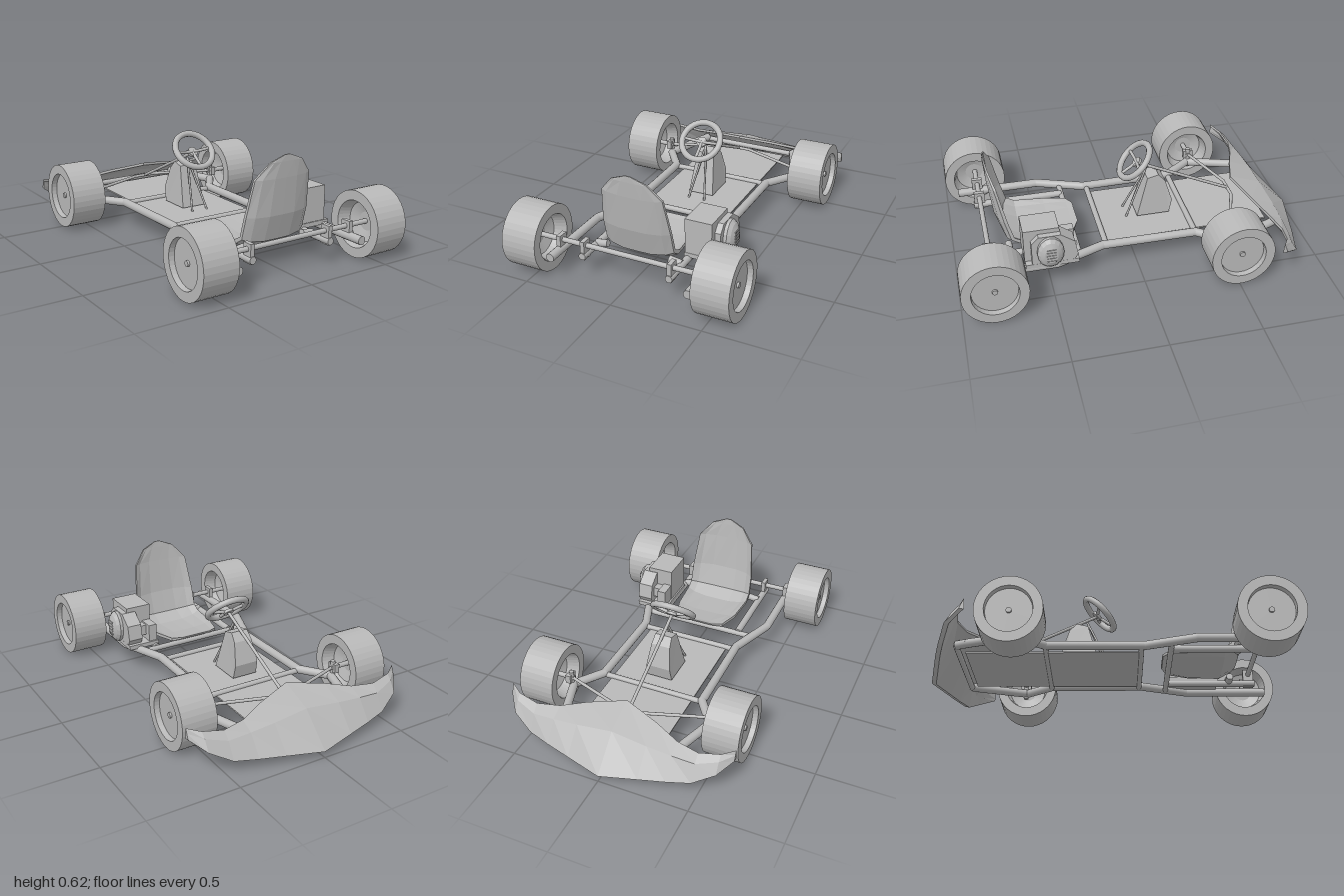
import * as THREE from 'three';
import { toCreasedNormals } from 'three/addons/utils/BufferGeometryUtils.js';

export function createModel() {
  const kart = new THREE.Group();
  kart.name = 'kart';
  const grey = new THREE.MeshStandardMaterial({ color: 0xb8b8b8 });
  grey.name = 'plain grey';

  const add = (name, geo, pos = [0, 0, 0], parent = kart) => {
    const m = new THREE.Mesh(geo, grey);
    m.name = name;
    m.position.set(...pos);
    parent.add(m);
    return m;
  };
  const box = (name, size, pos, parent) => add(name, new THREE.BoxGeometry(...size), pos, parent);

  // Straight tubes through a list of points, with round joints at the bends
  const tube = (name, pts, r, parent = kart) => {
    const g = new THREE.Group();
    g.name = name;
    parent.add(g);
    const v = pts.map(p => new THREE.Vector3(...p));
    for (let i = 0; i < v.length - 1; i++) {
      const d = v[i + 1].clone().sub(v[i]);
      const mid = v[i].clone().add(v[i + 1]).multiplyScalar(0.5);
      const m = add(name + 'Section', new THREE.CylinderGeometry(r, r, d.length(), 14), mid.toArray(), g);
      m.quaternion.setFromUnitVectors(new THREE.Vector3(0, 1, 0), d.normalize());
      if (i > 0) add(name + 'Bend', new THREE.SphereGeometry(r, 14, 10), pts[i], g);
    }
    return g;
  };

  // Faceted solid through closed rings of points
  const loft = rings => {
    const pos = [], n = rings[0].length;
    const tri = (...p) => p.forEach(q => pos.push(...q));
    for (let i = 0; i < rings.length - 1; i++) {
      for (let j = 0; j < n; j++) {
        const k = (j + 1) % n, a = rings[i], b = rings[i + 1];
        tri(a[j], b[j], a[k]);
        tri(a[k], b[j], b[k]);
      }
    }
    // End caps join the upper points to the lower ones
    const first = rings[0], last = rings[rings.length - 1];
    for (let j = 0; j < n / 2 - 1; j++) {
      const o = n - 1 - j;
      tri(first[j], first[j + 1], first[o]);
      tri(first[j + 1], first[o - 1], first[o]);
      tri(last[j], last[o], last[j + 1]);
      tri(last[j + 1], last[o], last[o - 1]);
    }
    const geo = new THREE.BufferGeometry();
    geo.setAttribute('position', new THREE.Float32BufferAttribute(pos, 3));
    geo.computeVertexNormals();
    return geo;
  };

  const lathe = (pts, sides, crease) => toCreasedNormals(
    new THREE.LatheGeometry(pts.map(p => new THREE.Vector2(...p)), sides).toNonIndexed(), crease);

  // Side outline of [z, y] points, extruded across x
  const sideExtrude = (pts, width) => {
    const shape = new THREE.Shape(pts.map(([z, y]) => new THREE.Vector2(-z, y)));
    const geo = new THREE.ExtrudeGeometry(shape, { depth: width, bevelEnabled: false });
    geo.translate(0, 0, -width / 2);
    geo.rotateY(Math.PI / 2);
    return geo;
  };

  // Wheels: dished inside, shallow rim outside
  const wheelGeo = lathe([[0, 0.09], [0.05, 0.09], [0.105, 0.07], [0.125, 0], [0.177, 0],
    [0.177, 0.2], [0.125, 0.2], [0.122, 0.17], [0, 0.17]], 36, 0.1);
  for (const s of [-1, 1]) {
    for (const [name, z] of [['frontWheel', -0.51], ['rearWheel', 0.82]]) {
      const w = add(name, wheelGeo, [s * 0.437, 0.185, z]);
      w.rotation.z = -s * Math.PI / 2;
      w.scale.x = 1.04;
      tube('wheelHub', [[s * 0.6, 0.185, z], [s * 0.618, 0.185, z]], 0.015);
    }
  }

  // Main frame
  const Y = 0.132;
  for (const s of [-1, 1]) {
    tube('sideRail', [[s * 0.393, Y, 0.93], [s * 0.393, Y, 0.46], [s * 0.295, Y, 0.19],
      [s * 0.3, Y, -0.345], [s * 0.41, Y, -0.5], [s * 0.325, Y, -0.76], [s * 0.3, Y, -0.82]], 0.024);
    tube('innerRail', [[s * 0.25, Y, 0.33], [s * 0.25, Y, 0.85]], 0.02);
    for (const x of [0.25, 0.393]) box('axleBracket', [0.024, 0.105, 0.06], [s * x, 0.163, 0.815]);
    tube('seatMount', [[s * 0.25, 0.14, 0.7], [s * 0.18, 0.15, 0.7]], 0.02);
    // Front steering knuckles
    tube('kingpin', [[s * 0.415, 0.1, -0.51], [s * 0.415, 0.225, -0.51]], 0.014);
    tube('frontSpindle', [[s * 0.4, 0.185, -0.51], [s * 0.54, 0.185, -0.51]], 0.014);
    box('knuckle', [0.03, 0.05, 0.06], [s * 0.423, 0.185, -0.51]);
  }
  for (const [z, x] of [[0.17, 0.29], [0.33, 0.345], [-0.345, 0.3], [-0.82, 0.3]]) {
    tube('crossTube', [[-x, 0.125, z], [x, 0.125, z]], 0.016);
  }
  tube('rearAxle', [[-0.54, 0.185, 0.815], [0.54, 0.185, 0.815]], 0.014);
  box('floorPan', [0.49, 0.008, 0.95], [0.003, 0.118, -0.305]);

  // Steering linkage, column and wheel
  tube('tieRod', [[-0.41, 0.185, -0.51], [-0.07, 0.19, -0.63], [0.07, 0.19, -0.63],
    [0.41, 0.185, -0.51]], 0.009);
  tube('steeringColumn', [[0, 0.45, -0.075], [0, 0.19, -0.63]], 0.009);
  for (const s of [-1, 1]) tube('columnStrut', [[0, 0.41, -0.13], [s * 0.05, 0.12, 0]], 0.006);
  const steering = new THREE.Group();
  steering.name = 'steeringWheel';
  steering.position.set(0, 0.467, -0.06);
  steering.rotation.x = -Math.PI / 4;
  kart.add(steering);
  add('steeringRim', new THREE.TorusGeometry(0.115, 0.018, 10, 28), [0, 0, 0], steering);
  const hub = add('steeringHub', new THREE.CylinderGeometry(0.03, 0.03, 0.016, 16), [0, 0, -0.02], steering);
  hub.rotation.x = Math.PI / 2;
  for (const a of [0, Math.PI, -Math.PI / 2]) {
    tube('steeringSpoke', [[0, 0, -0.02], [0.11 * Math.cos(a), 0.11 * Math.sin(a), 0]], 0.009, steering);
  }

  // Console tank, narrowing towards the top
  const tank = sideExtrude([[-0.06, 0.13], [-0.125, 0.365], [-0.19, 0.38], [-0.23, 0.335],
    [-0.268, 0.21], [-0.25, 0.13]], 0.15);
  const tp = tank.attributes.position;
  for (let i = 0; i < tp.count; i++) tp.setX(i, tp.getX(i) * (1 - 1.7 * Math.max(0, tp.getY(i) - 0.18)));
  tank.computeVertexNormals();
  add('consoleTank', tank);

  // Bucket seat: y, z, half width, edge lift y/z, back face offset y/z
  const seatRows = [
    [0.17, 0.293, 0.09, 0, 0, -0.012, 0.004], [0.16, 0.325, 0.15, 0.005, 0, -0.018, 0],
    [0.14, 0.45, 0.185, 0.02, 0, -0.02, 0], [0.13, 0.62, 0.197, 0.035, 0, -0.02, 0.01],
    [0.17, 0.7, 0.197, 0.02, -0.035, -0.012, 0.016], [0.3, 0.74, 0.195, 0, -0.045, 0, 0.018],
    [0.5, 0.768, 0.172, 0, -0.03, 0, 0.014], [0.585, 0.778, 0.1, 0, -0.008, 0, 0.01],
    [0.62, 0.783, 0.015, 0, 0, 0, 0.006]];
  add('seat', loft(seatRows.map(([y, z, w, ly, lz, oy, oz]) => {
    const top = [-1, -0.8, -0.4, 0, 0.4, 0.8, 1].map(u => [u * w, y + ly * u ** 4, z + lz * u ** 4]);
    return [...top, ...top.map(p => [p[0], p[1] + oy, p[2] + oz]).reverse()];
  })));

  // Front fairing: x, then y/z of the rear edge, middle ridge and front edge
  const half = [
    [0, 0.265, -0.645, 0.2, -0.83, 0.035, -1], [0.2, 0.235, -0.71, 0.182, -0.84, 0.05, -0.953],
    [0.34, 0.205, -0.765, 0.17, -0.84, 0.06, -0.92], [0.465, 0.2, -0.793, 0.16, -0.835, 0.07, -0.885],
    [0.58, 0.218, -0.775, 0.19, -0.805, 0.13, -0.84], [0.645, 0.235, -0.735, 0.21, -0.745, 0.18, -0.757]];
  const fairingRows = [...half.slice(1).reverse().map(([x, ...r]) => [-x, ...r]), ...half];
  add('frontFairing', loft(fairingRows.map(([x, ry, rz, my, mz, fy, fz]) => [
    [x, ry, rz], [x, my, mz], [x, fy, fz],
    [x, fy - 0.005, fz + 0.025], [x, my - 0.02, mz + 0.015], [x, ry - 0.015, rz + 0.003]])));

  // Engine
  box('engineBlock', [0.15, 0.195, 0.195], [0.312, 0.268, 0.54]);
  add('crankcase', sideExtrude([[0.6, 0.15], [0.6, 0.3], [0.56, 0.34], [0.44, 0.34], [0.365, 0.285],
    [0.35, 0.2], [0.38, 0.15]], 0.085), [0.377, 0, 0]);
  box('carburettor', [0.05, 0.1, 0.1], [0.265, 0.22, 0.4]);
  box('intake', [0.05, 0.06, 0.06], [0.31, 0.23, 0.42]);
  box('engineMount', [0.19, 0.025, 0.29], [0.325, 0.155, 0.49]);
  const cover = add('flywheelCover', lathe([[0, 0], [0.072, 0], [0.072, 0.02], [0.058, 0.038],
    [0.036, 0.05], [0, 0.05]], 16, 0.2), [0.417, 0.245, 0.5]);
  cover.rotation.z = -Math.PI / 2;
  cover.scale.x = 1.3;
  for (let i = -2; i <= 2; i++) box('coverVent', [0.006, 0.008, 0.05], [0.467, 0.245 + i * 0.018, 0.5]);

  return kart;
}
